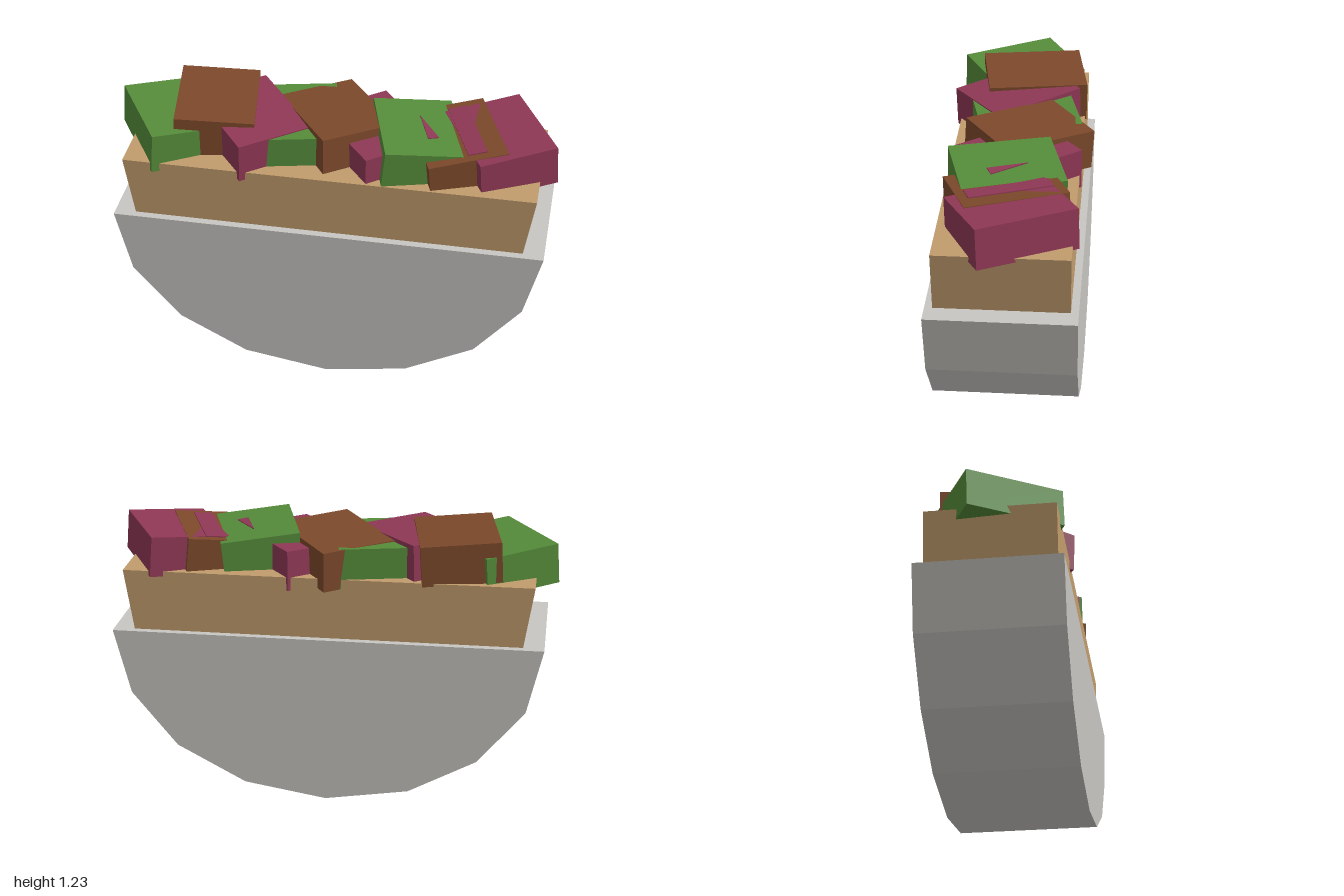
import * as THREE from 'three';

const flat = (name, color) => {
  const m = new THREE.MeshStandardMaterial({ color });
  m.name = name;
  return m;
};

// Extrudes an outline in x,y between two depths
function slab(name, points, back, front, material) {
  const shape = new THREE.Shape(points.map(([x, y]) => new THREE.Vector2(x, y)));
  const geo = new THREE.ExtrudeGeometry(shape, { depth: front - back, bevelEnabled: false });
  geo.translate(0, 0, back);
  const mesh = new THREE.Mesh(geo, material);
  mesh.name = name;
  return mesh;
}

export function createModel() {
  const stone = flat('pale stone', 0xc8c6c2);
  const wood = flat('tan wood', 0xc19c6c);
  const green = flat('leaf green', 0x558c3a);
  const brown = flat('earth brown', 0x7d492b);
  const plum = flat('plum', 0x8f3855);
  const model = new THREE.Group();
  model.name = 'planter';

  // Rounded faceted trough
  model.add(slab('trough', [
    [-0.945, 0.775], [-0.875, 0.48], [-0.665, 0.23], [-0.36, 0.065], [0.015, 0.005],
    [0.385, 0.065], [0.695, 0.23], [0.9, 0.48], [0.975, 0.775],
  ], -0.31, 0.33, stone));

  // Tapered filling rising out of the trough
  model.add(slab('filling', [
    [-0.84, 0.7], [0.87, 0.7], [0.925, 1.05], [-0.895, 1.05],
  ], -0.277, 0.296, wood));

  // Tumbled blocks: material, x, y, z, yaw, pitch, roll
  const size = [0.352, 0.18, 0.452];
  const blockGeo = new THREE.BoxGeometry(...size);
  const blocks = [
    [green, -0.72, 1.09, 0.027, 0.543, 0, -0.08],
    [brown, -0.54, 1.135, -0.035, 0.154, 0, -0.06],
    [plum, -0.365, 1.112, 0.03, 0.667, 0.04, 0],
    [green, -0.165, 1.098, -0.02, 0.22, 0, 0],
    [brown, 0.005, 1.11, -0.043, 0.617, -0.05, -0.03],
    [plum, 0.185, 1.08, 0, 0.667, 0, 0],
    [green, 0.37, 1.107, 0.027, 0.27, 0, -0.1],
    [brown, 0.55, 1.092, 0.015, 0.36, 0, 0.1],
    [plum, 0.735, 1.108, -0.02, 0.47, 0, 0.08],
  ].map(([material, x, y, z, yaw, pitch, roll], i) => {
    const block = new THREE.Mesh(blockGeo, material);
    block.name = `block${i + 1}`;
    block.position.set(x, y, z);
    block.rotation.set(pitch, yaw, roll, 'YXZ');
    model.add(block);
    return block;
  });

  // Plum band showing through the last brown block
  const band = new THREE.Mesh(new THREE.BoxGeometry(0.085, 0.008, 0.37), plum);
  band.name = 'plumBand';
  band.position.set(0.05, size[1] / 2 + 0.001, 0);
  blocks[7].add(band);

  // Plum sliver showing through the green block
  const sliver = slab('plumSliver', [[0, 0.1], [-0.025, -0.08], [0.025, -0.08]], 0, 0.005, plum);
  sliver.rotation.set(-Math.PI / 2, 0, 0.2);
  sliver.position.set(0.035, size[1] / 2 - 0.001, 0.01);
  blocks[6].add(sliver);

  return model;
}
